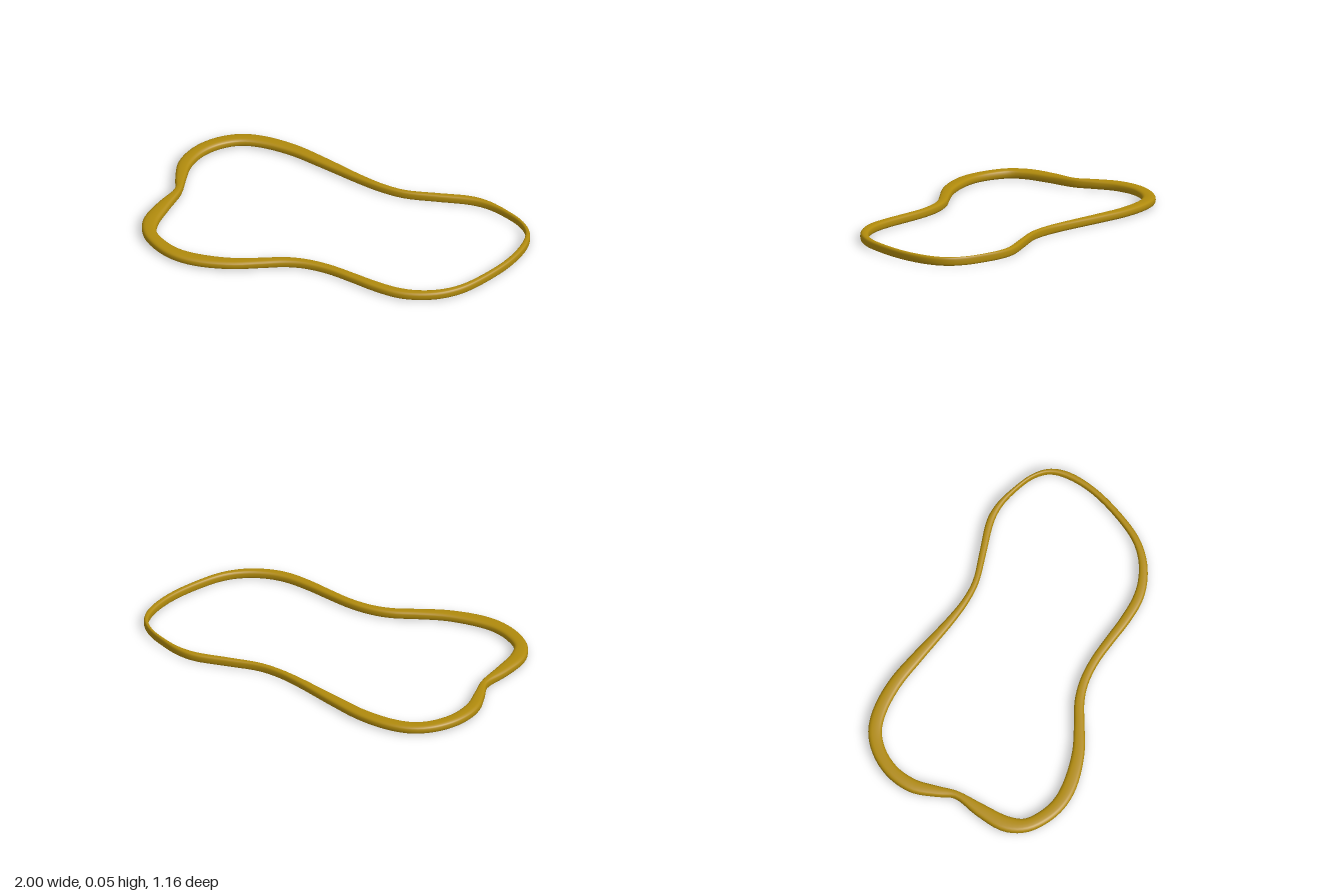
import * as THREE from 'three';

// Centre line seen from above with the band's half width: [x, z, halfWidth]
const STATIONS = [
  [-0.9, 0, 0.02], [-0.918, -0.1, 0.028], [-0.935, -0.23, 0.036], [-0.9, -0.36, 0.036],
  [-0.82, -0.465, 0.036], [-0.72, -0.527, 0.036], [-0.6, -0.545, 0.036], [-0.43, -0.525, 0.034],
  [-0.25, -0.468, 0.03], [0, -0.38, 0.021], [0.13, -0.345, 0.017], [0.25, -0.333, 0.016],
  [0.42, -0.357, 0.018], [0.6, -0.383, 0.019], [0.7, -0.37, 0.015], [0.8, -0.33, 0.011],
  [0.905, -0.268, 0.01], [0.965, -0.195, 0.012], [0.982, -0.1, 0.016], [0.95, 0.06, 0.016],
  [0.858, 0.25, 0.017], [0.768, 0.375, 0.019], [0.67, 0.448, 0.022], [0.56, 0.488, 0.025],
  [0.46, 0.497, 0.027], [0.33, 0.477, 0.026], [0.2, 0.443, 0.024], [0.06, 0.41, 0.023],
  [-0.07, 0.401, 0.024], [-0.18, 0.418, 0.026], [-0.3, 0.463, 0.028], [-0.45, 0.515, 0.033],
  [-0.63, 0.538, 0.038], [-0.75, 0.523, 0.037], [-0.85, 0.475, 0.036], [-0.93, 0.4, 0.036],
  [-0.958, 0.3, 0.042], [-0.935, 0.15, 0.035],
];
const AROUND = 160, SIDES = 20;

// Closed band with a rounded, nearly rectangular section of varying width
function bandGeometry() {
  // Width rides along in the curve's y coordinate so it is interpolated too
  const curve = new THREE.CatmullRomCurve3(
    STATIONS.map(([x, z, w]) => new THREE.Vector3(x, w, z)), true, 'centripetal');
  const positions = [], index = [];
  const round = v => Math.sign(v) * Math.abs(v) ** 0.7;
  for (let i = 0; i < AROUND; i++) {
    const p = curve.getPoint(i / AROUND), t = curve.getTangent(i / AROUND);
    const len = Math.hypot(t.x, t.z), nx = -t.z / len, nz = t.x / len;
    const height = 0.046 + 0.004 * THREE.MathUtils.smoothstep(-p.x, 0.75, 0.95);
    for (let j = 0; j < SIDES; j++) {
      const a = (j / SIDES) * Math.PI * 2;
      const side = round(Math.cos(a)) * p.y;
      positions.push(p.x + nx * side, height * (0.5 + 0.5 * round(Math.sin(a))), p.z + nz * side);
      const i2 = (i + 1) % AROUND, j2 = (j + 1) % SIDES;
      const A = i * SIDES + j, B = i2 * SIDES + j, C = i2 * SIDES + j2, D = i * SIDES + j2;
      index.push(A, B, D, B, C, D);
    }
  }
  const geometry = new THREE.BufferGeometry();
  geometry.setAttribute('position', new THREE.Float32BufferAttribute(positions, 3));
  geometry.setIndex(index);
  geometry.computeVertexNormals();
  return geometry;
}

export function createModel() {
  const group = new THREE.Group();
  group.name = 'wavyRing';
  const band = new THREE.Mesh(bandGeometry(),
    new THREE.MeshStandardMaterial({ color: 0xb08a0c }));
  band.name = 'band';
  group.add(band);
  return group;
}
